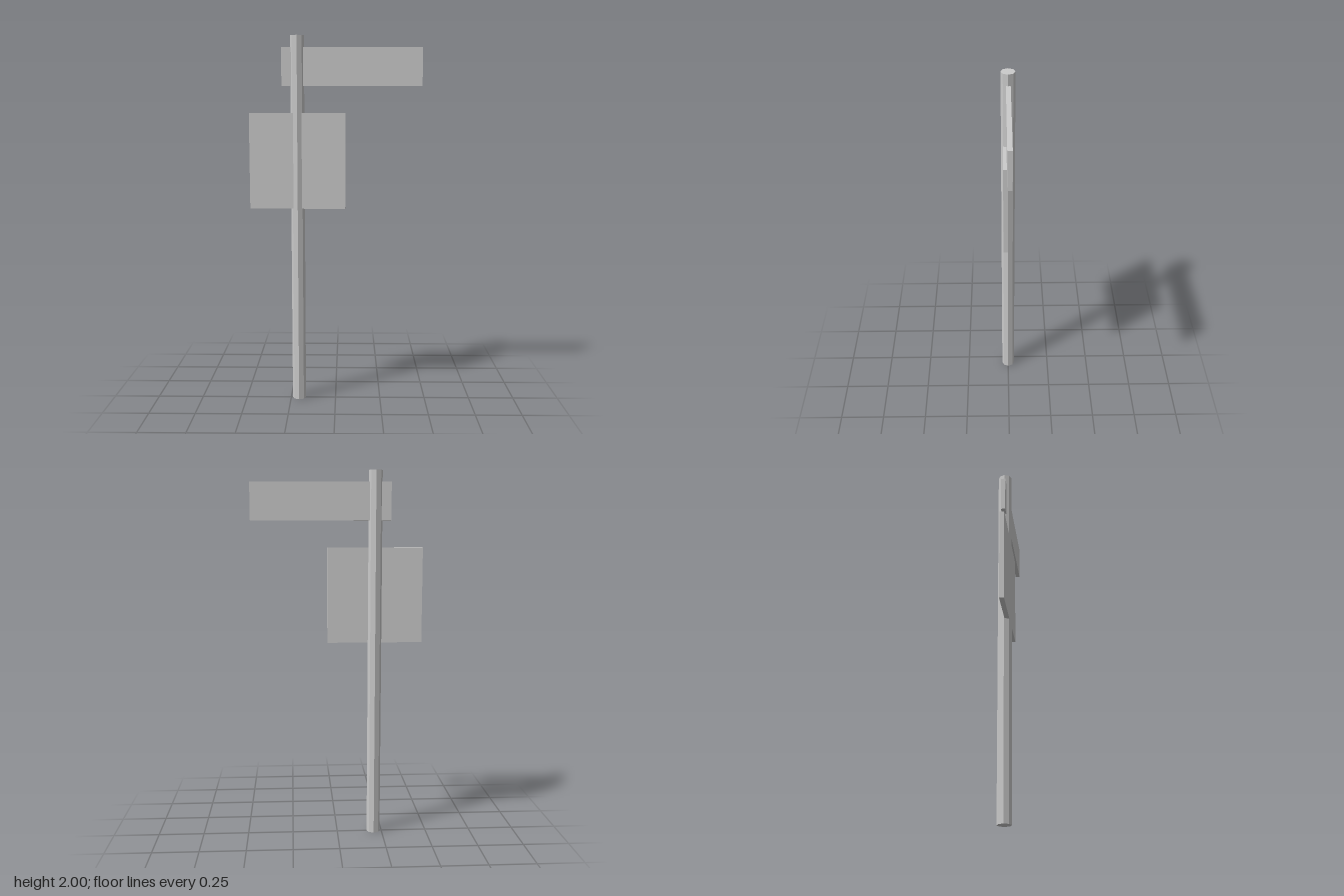
import * as THREE from 'three';

export function createModel() {
  const group = new THREE.Group();
  const material = new THREE.MeshStandardMaterial({ color: 0xcccccc, flatShading: true });

  const add = (name, geometry, x, y, z) => {
    const mesh = new THREE.Mesh(geometry, material);
    mesh.name = name;
    mesh.position.set(x, y, z);
    group.add(mesh);
  };

  // Eight-sided upright, standing off centre
  add('pole', new THREE.CylinderGeometry(0.037, 0.037, 2, 8), -0.204, 1, 0);

  // Long street sign near the top, running through the pole
  add('upperSign', new THREE.BoxGeometry(0.75, 0.203, 0.024), 0.087, 1.837, -0.001);

  // Square board, set slightly forward
  add('squareSign', new THREE.BoxGeometry(0.515, 0.515, 0.025), -0.2045, 1.337, 0.015);

  return group;
}
